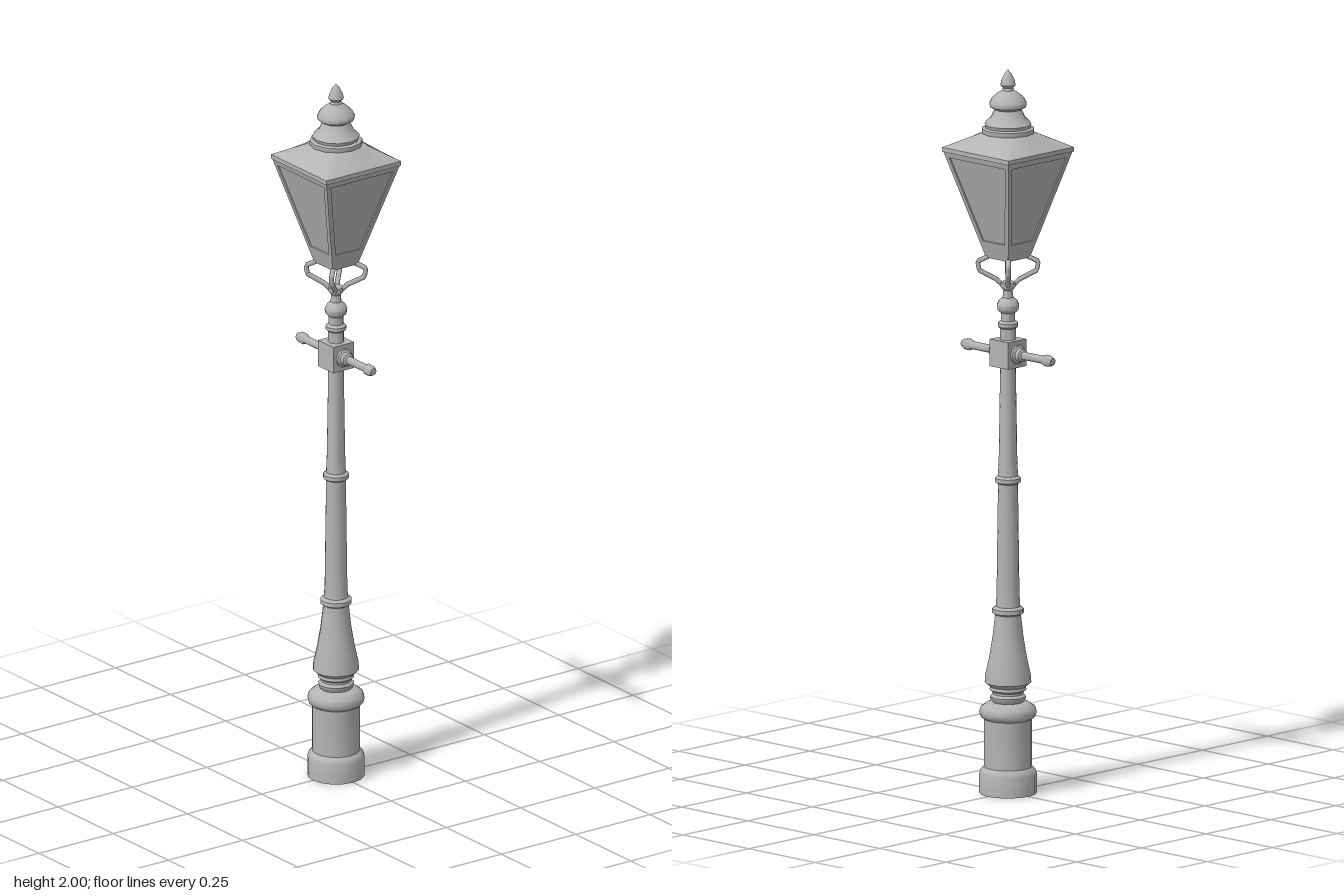
import * as THREE from 'three';
import { toCreasedNormals } from 'three/addons/utils/BufferGeometryUtils.js';

export function createModel() {
  const model = new THREE.Group();
  model.name = 'streetLamp';
  const iron = new THREE.MeshStandardMaterial({ color: 0xb4b4b4 });
  iron.name = 'grey iron';

  const add = (name, geometry, parent = model) => {
    const mesh = new THREE.Mesh(geometry, iron);
    mesh.name = name;
    parent.add(mesh);
    return mesh;
  };
  // Turned part from [radius, height] pairs, bottom to top
  const turned = (points, sides) => toCreasedNormals(
    new THREE.LatheGeometry(points.map(([r, y]) => new THREE.Vector2(r, y)), sides), 0.75);

  // Pedestal with plinth and collar
  add('pedestal', turned([
    [0, 0], [0.078, 0], [0.078, 0.055], [0.074, 0.066], [0.065, 0.073], [0.065, 0.205],
    [0.074, 0.211], [0.078, 0.224], [0.074, 0.238], [0.06, 0.248], [0.042, 0.252], [0, 0.252],
  ], 16));

  // Column: moulded foot, swelling, and tapering shaft with two rings
  add('column', turned([
    [0.04, 0.25], [0.047, 0.257], [0.049, 0.267], [0.042, 0.274], [0.042, 0.28], [0.05, 0.286],
    [0.048, 0.294], [0.063, 0.306], [0.062, 0.325], [0.052, 0.37], [0.042, 0.43], [0.035, 0.493],
    [0.043, 0.498], [0.043, 0.51], [0.033, 0.516], [0.031, 0.55], [0.027, 0.855],
    [0.035, 0.86], [0.035, 0.871], [0.027, 0.877], [0.025, 0.93], [0.021, 1.19],
  ], 16));

  // Neck above the crossbar block
  add('neck', turned([
    [0.022, 1.25], [0.022, 1.285], [0.028, 1.29], [0.028, 1.3], [0.02, 1.306], [0.02, 1.328],
    [0.029, 1.336], [0.031, 1.35], [0.025, 1.362], [0.015, 1.37], [0.013, 1.39],
    [0.021, 1.4], [0.021, 1.412], [0, 1.416],
  ], 12));

  // Ladder rest: block with a flanged bar on each side
  add('crossbarBlock', new THREE.BoxGeometry(0.07, 0.075, 0.07)).position.y = 1.217;
  const barGeometry = turned([
    [0.026, 0.03], [0.026, 0.042], [0.02, 0.046], [0.018, 0.056], [0.011, 0.06], [0.011, 0.135],
    [0.016, 0.143], [0.015, 0.16], [0.01, 0.17], [0, 0.172],
  ], 10);
  for (const side of [1, -1]) {
    const bar = add(side > 0 ? 'leftLadderBar' : 'rightLadderBar', barGeometry);
    bar.rotation.z = -side * Math.PI / 2;
    bar.position.y = 1.217;
  }

  // Four bent arms carrying the corners of the lantern
  const d = Math.SQRT2;
  const armPath = new THREE.CurvePath();
  const bends = [[0.008, 1.4], [0.022, 1.42], [0.055, 1.445], [0.058, 1.47], [0.038, 1.483]]
    .map(([r, y]) => new THREE.Vector3(r * d, y, 0));
  for (let i = 1; i < bends.length; i++) armPath.add(new THREE.LineCurve3(bends[i - 1], bends[i]));
  const armGeometry = new THREE.TubeGeometry(armPath, 24, 0.007, 6);
  for (let i = 0; i < 4; i++) {
    add('lanternArm', armGeometry).rotation.y = Math.PI / 4 + i * Math.PI / 2;
  }

  // Lantern: inner glass body behind four tapered frames
  const bottom = 1.48, top = 1.775, low = 0.042, high = 0.124;
  const lantern = new THREE.Group();
  lantern.name = 'lantern';
  model.add(lantern);
  const glass = new THREE.CylinderGeometry((high - 0.004) * d, (low - 0.004) * d, top - bottom - 0.002, 4, 1)
    .rotateY(Math.PI / 4);
  add('glass', toCreasedNormals(glass, 0.5), lantern).position.y = (top + bottom) / 2;

  const slant = Math.hypot(top - bottom, high - low);
  const halfAt = (s) => low + (high - low) * s / slant;
  const trapezoid = (path, s0, s1, inset) => {
    const a = halfAt(s0) - inset, b = halfAt(s1) - inset;
    path.moveTo(-a, s0);
    path.lineTo(a, s0);
    path.lineTo(b, s1);
    path.lineTo(-b, s1);
    path.closePath();
    return path;
  };
  const frame = trapezoid(new THREE.Shape(), 0, slant, 0);
  frame.holes.push(trapezoid(new THREE.Path(), 0.05, slant - 0.018, 0.014));
  const frameGeometry = new THREE.ExtrudeGeometry(frame, { depth: 0.006, bevelEnabled: false })
    .translate(0, 0, -0.006)
    .rotateX(Math.atan2(high - low, top - bottom))
    .translate(0, bottom, low);
  for (let i = 0; i < 4; i++) {
    add('windowFrame', frameGeometry, lantern).rotation.y = i * Math.PI / 2;
  }

  // Roof: thin square eave, then a surface blending from square to round
  add('eave', new THREE.BoxGeometry(0.252, 0.012, 0.252), lantern).position.y = 1.779;
  const roof = new THREE.CylinderGeometry(0.07, 0.126, 0.041, 32, 1);
  const p = roof.attributes.position;
  for (let i = 0; i < p.count; i++) {
    if (p.getY(i) > 0) continue;
    const x = p.getX(i), z = p.getZ(i);
    const k = 0.126 / (Math.max(Math.abs(x), Math.abs(z)) || 1);
    p.setX(i, x * k);
    p.setZ(i, z * k);
  }
  add('roof', toCreasedNormals(roof, 0.5), lantern).position.y = 1.8055;

  // Vent cap and finial
  add('finial', turned([
    [0.07, 1.822], [0.073, 1.829], [0.072, 1.838], [0.062, 1.841], [0.065, 1.85], [0.058, 1.858],
    [0.048, 1.868], [0.041, 1.882], [0.036, 1.89], [0.05, 1.898], [0.052, 1.908], [0.044, 1.922],
    [0.028, 1.936], [0.016, 1.943], [0.014, 1.95], [0.021, 1.958], [0.018, 1.972], [0.01, 1.988], [0, 2],
  ], 12));

  return model;
}
